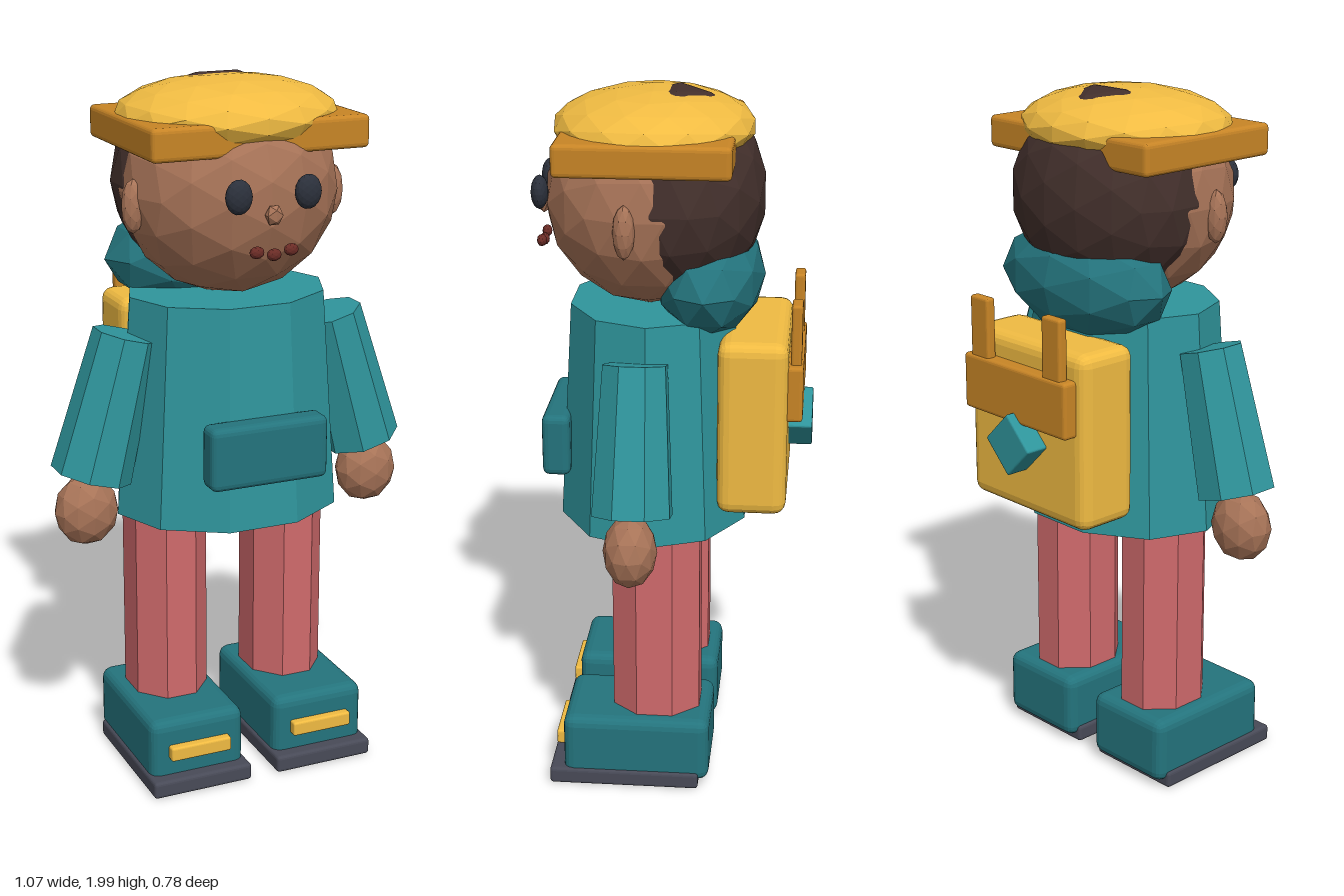
import * as THREE from 'three';
import { RoundedBoxGeometry } from 'three/addons/geometries/RoundedBoxGeometry.js';

const paint = (color) => new THREE.MeshStandardMaterial({ color, flatShading: true });

const teal = paint(0x2f959c);
const darkTeal = paint(0x24747d);
const skin = paint(0xa87458);
const hairBrown = paint(0x43302c);
const yellow = paint(0xf0bb42);
const orange = paint(0xc88526);
const pink = paint(0xd06a6c);
const charcoal = paint(0x2c313c);
const rubber = paint(0x484a57);
const lip = paint(0x6b2c26);

export function createModel() {
  const model = new THREE.Group();
  model.name = 'backpacker';

  const add = (name, geometry, material, [x, y, z], parent = model) => {
    const mesh = new THREE.Mesh(geometry, material);
    mesh.name = name;
    mesh.position.set(x, y, z);
    parent.add(mesh);
    return mesh;
  };
  // Faceted ellipsoid given by its three radii
  const blob = (name, material, at, radii, detail = 2, parent = model) =>
    add(name, new THREE.IcosahedronGeometry(1, detail).scale(...radii), material, at, parent);
  // Softened box given by its minimum and maximum corners
  const block = (name, material, min, max, radius = 0.02, parent = model) => {
    const size = max.map((v, i) => v - min[i]);
    const centre = max.map((v, i) => (v + min[i]) / 2);
    return add(name, new RoundedBoxGeometry(...size, 2, radius), material, centre, parent);
  };

  // Coat: flared ten-sided tube, flattened front to back
  const coat = new THREE.CylinderGeometry(0.29, 0.335, 0.63, 10);
  coat.rotateY(Math.PI / 10).scale(1, 1, 0.83);
  add('coat', coat, teal, [0, 1.085, 0.06]);
  block('frontPocket', darkTeal, [-0.175, 0.91, 0.29], [0.175, 1.09, 0.37]);
  blob('hood', darkTeal, [0, 1.475, -0.095], [0.305, 0.16, 0.155], 1);

  // Head and face
  blob('head', skin, [0, 1.69, 0.07], [0.305, 0.295, 0.295]);
  blob('hair', hairBrown, [0, 1.705, -0.005], [0.305, 0.295, 0.245]);
  blob('nose', skin, [0, 1.665, 0.37], [0.026, 0.03, 0.02], 0);
  for (const x of [-0.05, 0, 0.05]) {
    blob('mouth', lip, [x, x ? 1.57 : 1.56, 0.372], [0.021, 0.017, 0.014], 1);
  }

  // Cap: square brim with a low dome
  block('capBrim', orange, [-0.315, 1.81, -0.17], [0.315, 1.9, 0.305], 0.014);
  blob('capDome', yellow, [0, 1.89, 0.06], [0.315, 0.105, 0.28]);

  // Paired parts
  for (const s of [-1, 1]) {
    const side = s > 0 ? 'left' : 'right';
    blob(side + 'Eye', charcoal, [s * 0.1, 1.72, 0.367], [0.038, 0.047, 0.024]);
    blob(side + 'Ear', skin, [s * 0.297, 1.665, 0.115], [0.033, 0.075, 0.03], 1);

    // Sleeve hangs outward from the shoulder
    const sleeve = new THREE.CylinderGeometry(0.092, 0.115, 0.41, 8).rotateY(Math.PI / 8);
    add(side + 'Sleeve', sleeve, teal, [s * 0.368, 1.107, 0.085]).rotation.z = s * 0.27;
    blob(side + 'Hand', skin, [s * 0.44, 0.81, 0.09], [0.093, 0.103, 0.075], 1);

    const leg = new THREE.CylinderGeometry(0.118, 0.118, 0.65, 8);
    leg.rotateY(Math.PI / 8).scale(1, 1, 1.15);
    add(side + 'Leg', leg, pink, [s * 0.185, 0.515, 0.04]);

    // Shoe with sole and toe strap
    const shoe = new THREE.Group();
    shoe.name = side + 'Shoe';
    shoe.position.x = s * 0.192;
    model.add(shoe);
    block('shoeUpper', darkTeal, [-0.143, 0.02, -0.12], [0.143, 0.215, 0.305], 0.03, shoe);
    block('sole', rubber, [-0.151, 0, -0.09], [0.151, 0.05, 0.345], 0.01, shoe);
    block('toeStrap', yellow, [-0.092, 0.1, 0.28], [0.092, 0.142, 0.33], 0.006, shoe);
  }

  // Backpack with flap, straps and diamond patch
  const pack = new THREE.Group();
  pack.name = 'backpack';
  model.add(pack);
  block('packBody', yellow, [-0.24, 0.835, -0.325], [0.24, 1.34, -0.13], 0.035, pack);
  block('packFlap', orange, [-0.21, 1.11, -0.366], [0.21, 1.27, -0.315], 0.01, pack);
  for (const s of [-1, 1]) {
    const strap = block('packStrap', orange, [-0.037, 1.13, -0.36], [0.037, 1.44, -0.33], 0.008, pack);
    strap.position.x = s * 0.148;
  }
  const patch = block('packPatch', teal, [-0.064, 0.988, -0.392], [0.064, 1.116, -0.315], 0.006, pack);
  patch.rotation.z = Math.PI / 4;

  return model;
}
